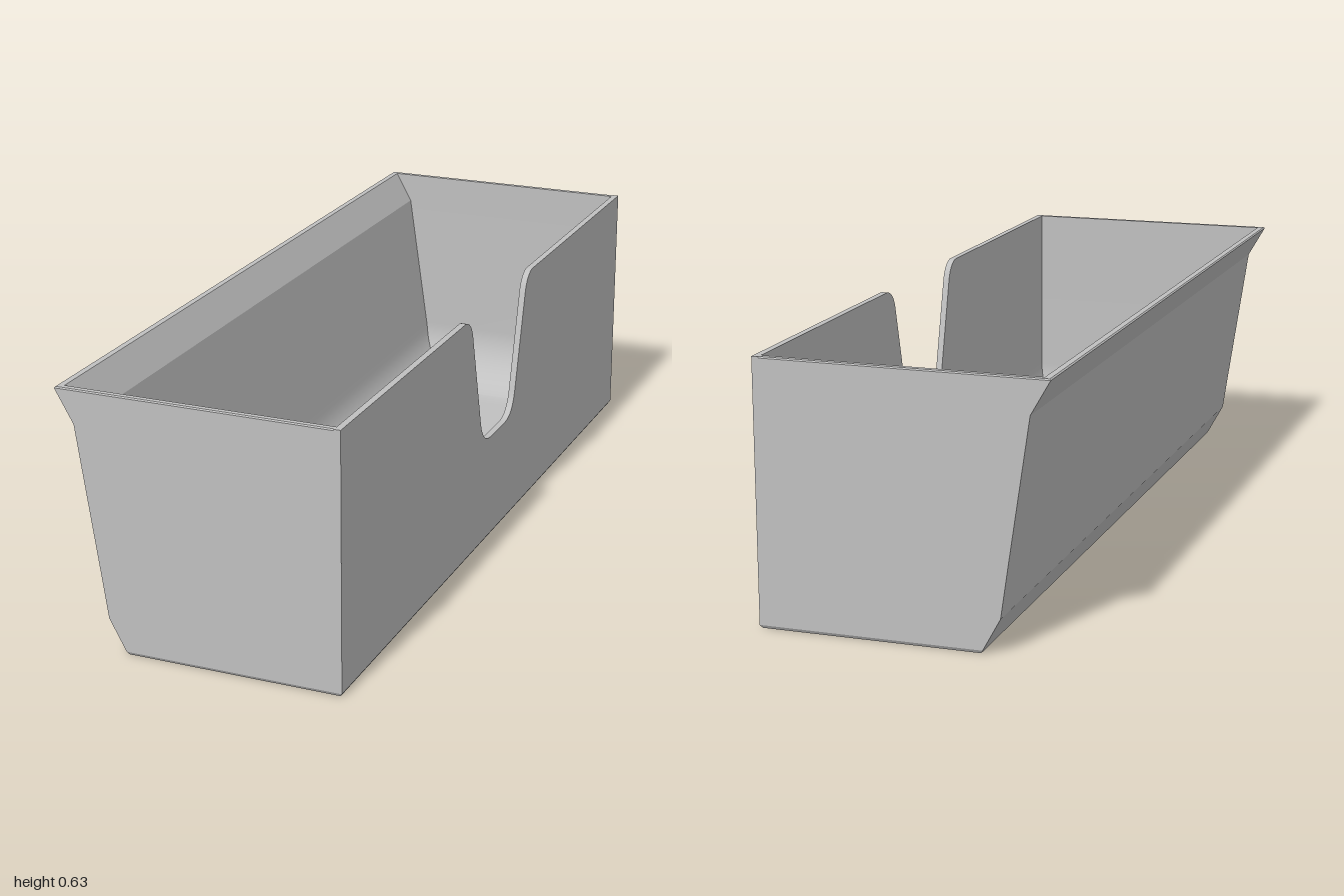
import * as THREE from 'three';
import { toCreasedNormals } from 'three/addons/utils/BufferGeometryUtils.js';

const HEIGHT = 0.633, HALF_X = 0.347, HALF_Z = 1, WALL = 0.016;
const FLOOR = 0.016, RADIUS = 0.165, SPLIT = FLOOR + RADIUS;
const X_IN = HALF_X - WALL, Z_IN = HALF_Z - WALL;

// Inner face of the sloping wall: flared lip, leaning wall, then a fillet into the floor
const LEAN = 0.146;
const leanX = (y) => -0.285 + (0.55 - y) * LEAN;
const SLOPE = Math.atan(LEAN);
const CENTRE_X = leanX(SPLIT) + RADIUS / Math.cos(SLOPE);
function innerLeft(y) {
  if (y < SPLIT - RADIUS * Math.sin(SLOPE)) {
    return CENTRE_X - Math.sqrt(Math.max(0, RADIUS ** 2 - (SPLIT - y) ** 2));
  }
  return Math.min(leanX(y), -0.329 + (HEIGHT - y) * 0.554);
}

// Rectangular rings, from the base up the outside, over the rim and down the inside
function tubGeometry() {
  const rings = [];
  const ring = (y, left, right, z) =>
    rings.push([[right, y, z], [right, y, -z], [left, y, -z], [left, y, z]]);

  ring(0, -0.185, HALF_X - 0.005, HALF_Z - 0.005);
  ring(0.008, -0.19, HALF_X, HALF_Z);
  ring(0.085, -0.232, HALF_X, HALF_Z);
  ring(SPLIT, -0.246, HALF_X, HALF_Z);
  ring(0.55, -0.301, HALF_X, HALF_Z);
  ring(HEIGHT - 0.003, -0.347, HALF_X, HALF_Z);
  ring(HEIGHT, -0.344, HALF_X, HALF_Z - 0.003);
  ring(HEIGHT, innerLeft(HEIGHT), X_IN, Z_IN);
  ring(0.555, innerLeft(0.555), X_IN, Z_IN);
  const steps = 18;
  for (let i = steps; i >= 0; i--) {
    const a = (i / steps) * Math.PI / 2;
    const y = SPLIT - RADIUS * Math.cos(a);
    const inset = RADIUS * (1 - Math.sin(a));
    ring(y, innerLeft(y), X_IN - inset, Z_IN - inset);
  }

  const points = [];
  const quad = (a, b, c, d) => points.push(...a, ...b, ...c, ...a, ...c, ...d);
  for (let r = 0; r < rings.length - 1; r++) {
    const lower = rings[r], upper = rings[r + 1];
    for (let s = 0; s < 4; s++) {
      // the upper part of the upright side is the notched panel
      if (s === 0 && Math.min(lower[0][1], upper[0][1]) > SPLIT - 1e-6) continue;
      const n = (s + 1) % 4;
      quad(lower[s], lower[n], upper[n], upper[s]);
    }
  }
  const base = rings[0], floor = rings[rings.length - 1];
  quad(base[0], base[3], base[2], base[1]);
  quad(floor[0], floor[1], floor[2], floor[3]);

  const geometry = new THREE.BufferGeometry();
  geometry.setAttribute('position', new THREE.Float32BufferAttribute(points, 3));
  return toCreasedNormals(geometry, 0.35);
}

// Upright side panel with a rounded, tapering notch
function panelGeometry() {
  const shape = new THREE.Shape();
  shape.moveTo(-HALF_Z, SPLIT);
  shape.lineTo(HALF_Z, SPLIT);
  shape.lineTo(HALF_Z, HEIGHT);
  shape.lineTo(0.25, HEIGHT);
  shape.bezierCurveTo(0.22, HEIGHT, 0.2, 0.612, 0.192, 0.583);
  shape.lineTo(0.126, 0.335);
  shape.bezierCurveTo(0.116, 0.298, 0.09, 0.275, 0.055, 0.275);
  shape.lineTo(-0.055, 0.275);
  shape.bezierCurveTo(-0.09, 0.275, -0.116, 0.298, -0.126, 0.335);
  shape.lineTo(-0.192, 0.583);
  shape.bezierCurveTo(-0.2, 0.612, -0.22, HEIGHT, -0.25, HEIGHT);
  shape.lineTo(-HALF_Z, HEIGHT);
  shape.closePath();
  const geometry = new THREE.ExtrudeGeometry(shape, { depth: WALL, bevelEnabled: false, curveSegments: 10 });
  geometry.rotateY(Math.PI / 2).translate(X_IN, 0, 0);
  return toCreasedNormals(geometry, 0.35);
}

export function createModel() {
  const grey = new THREE.MeshStandardMaterial({ color: 0xc0c0c0 });
  grey.name = 'light grey';
  const group = new THREE.Group();
  group.name = 'storageBin';
  const add = (name, geometry) => {
    const mesh = new THREE.Mesh(geometry, grey);
    mesh.name = name;
    group.add(mesh);
  };
  add('tub', tubGeometry());
  add('notchedSidePanel', panelGeometry());
  return group;
}
